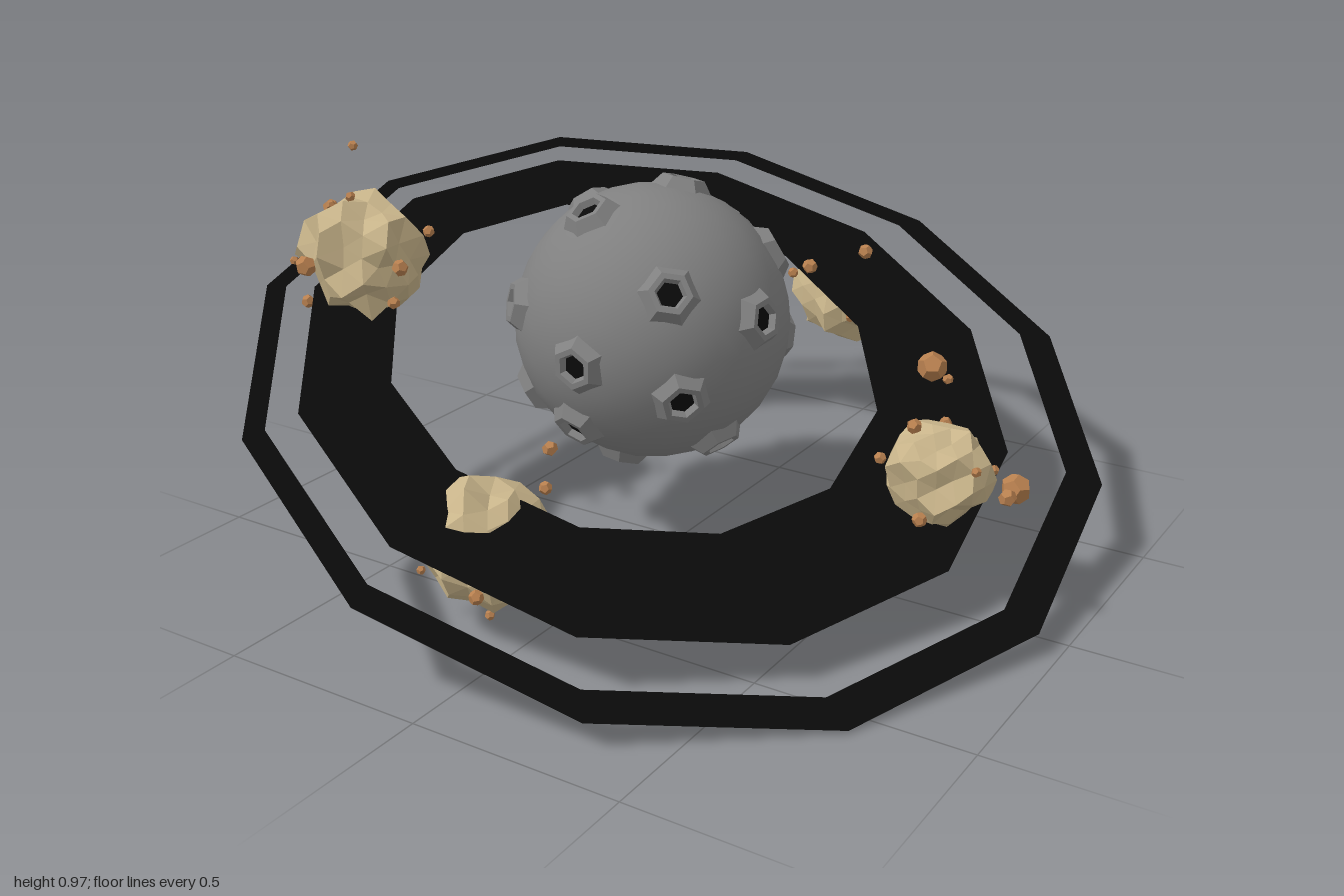
import * as THREE from 'three';

const grey = new THREE.MeshStandardMaterial({ color: 0x808080 });
const rimGrey = new THREE.MeshStandardMaterial({ color: 0x808080, flatShading: true, side: THREE.DoubleSide });
const black = new THREE.MeshStandardMaterial({ color: 0x0a0a0a, side: THREE.DoubleSide });
const sand = new THREE.MeshStandardMaterial({ color: 0xc8b48a, flatShading: true });
const brown = new THREE.MeshStandardMaterial({ color: 0xb8804f, flatShading: true });

function add(parent, name, geometry, material, x = 0, y = 0, z = 0) {
  const mesh = new THREE.Mesh(geometry, material);
  mesh.name = name;
  mesh.position.set(x, y, z);
  parent.add(mesh);
  return mesh;
}

// Repeatable pseudo-random value from 0 to 1
function hash(a, b, c, seed) {
  const h = Math.sin(a * 12.9898 + b * 78.233 + c * 37.719 + seed * 11.3) * 43758.5453;
  return h - Math.floor(h);
}

// Jagged boulder: each corner is pushed in or out by a hash of its direction
function boulderGeometry(radius, seed) {
  const geo = new THREE.IcosahedronGeometry(1, 2);
  const pos = geo.attributes.position;
  const v = new THREE.Vector3();
  for (let i = 0; i < pos.count; i++) {
    v.fromBufferAttribute(pos, i);
    const [a, b, c] = v.toArray().map(n => Math.round(n * 100));
    v.multiplyScalar(radius * (0.76 + 0.3 * hash(a, b, c, seed)));
    pos.setXYZ(i, v.x, v.y, v.z);
  }
  geo.computeVertexNormals();
  return geo;
}

// Twelve-sided flat band whose hole may sit off centre
function bandGeometry(outer, outerShift, inner, innerShift) {
  const polygon = (r, shift) => Array.from({ length: 12 }, (_, i) => {
    const a = i * Math.PI / 6;
    return new THREE.Vector2(shift + r * Math.cos(a), r * Math.sin(a));
  });
  const shape = new THREE.Shape(polygon(outer, outerShift));
  shape.holes.push(new THREE.Path(polygon(inner, innerShift)));
  return new THREE.ShapeGeometry(shape);
}

// Planet with raised, hollow craters in opposite pairs
function createPlanet() {
  const planet = new THREE.Group();
  planet.name = 'planet';
  planet.position.set(-0.065, 0.568, 0.018);
  add(planet, 'planetBody', new THREE.IcosahedronGeometry(0.325, 4), grey);
  const rimProfile = [[0.076, 0.308], [0.05, 0.343], [0.036, 0.343], [0.027, 0.32]]
    .map(p => new THREE.Vector2(...p));
  const rimGeo = new THREE.LatheGeometry(rimProfile, 6);
  const floorGeo = new THREE.CylinderGeometry(0.029, 0.029, 0.01, 6).translate(0, 0.323, 0);
  const up = new THREE.Vector3(0, 1, 0);
  const directions = [
    [0.01, -0.015, 0.33], [-0.22, 0.065, 0.23], [0.19, 0.155, 0.22], [0.22, -0.085, 0.22],
    [-0.07, 0.27, 0.14], [0.028, 0.31, -0.085], [-0.215, 0.24, -0.055], [0.32, 0.07, 0.04],
    [0.22, 0.16, -0.18], [-0.035, -0.185, 0.26],
  ];
  for (const d of directions) for (const side of [1, -1]) {
    const crater = new THREE.Group();
    crater.name = 'crater';
    crater.quaternion.setFromUnitVectors(up, new THREE.Vector3(...d).normalize().multiplyScalar(side));
    add(crater, 'craterRim', rimGeo, rimGrey);
    add(crater, 'craterHole', floorGeo, black);
    planet.add(crater);
  }
  return planet;
}

// Two coplanar tilted rings
function createRings() {
  const rings = new THREE.Group();
  rings.name = 'rings';
  const across = new THREE.Vector3(0.937, -0.34, 0.078).normalize();
  const back = new THREE.Vector3(0.15, 0.186, -0.972).normalize();
  const normal = across.clone().cross(back).normalize();
  rings.quaternion.setFromRotationMatrix(new THREE.Matrix4().makeBasis(across, back, normal));
  rings.position.y = 0.412;
  add(rings, 'outerRing', bandGeometry(1.023, 0, 0.958, -0.025), black);
  add(rings, 'innerRing', bandGeometry(0.856, -0.07, 0.597, -0.142), black);
  return rings;
}

// Boulder with a few large pebbles (offset, radius) and a swarm of small ones
function createCluster(x, y, z, radius, seed, largePebbles) {
  const cluster = new THREE.Group();
  cluster.name = 'asteroidCluster';
  cluster.position.set(x, y, z);
  add(cluster, 'boulder', boulderGeometry(radius, seed), sand);
  const pebbles = [...largePebbles];
  for (let i = 0; i < 7; i++) {
    const height = 0.85 - i * 0.25;
    const angle = i * 2.4 + seed;
    const reach = radius * (1 + 0.3 * hash(i, 1, 2, seed));
    const flat = reach * Math.sqrt(1 - height * height);
    pebbles.push([flat * Math.cos(angle), reach * height, flat * Math.sin(angle), 0.01 + 0.008 * hash(i, 3, 4, seed)]);
  }
  pebbles.forEach(([px, py, pz, r], i) => {
    const pebble = add(cluster, 'pebble', new THREE.DodecahedronGeometry(r), brown, px, py, pz);
    pebble.rotation.set(i * 1.3, i * 0.7 + seed, i * 2.1);
  });
  return cluster;
}

export function createModel() {
  const model = new THREE.Group();
  model.add(createPlanet(), createRings());
  model.add(createCluster(-0.7, 0.7, 0.31, 0.155, 1, [
    [0.01, 0.27, 0.02, 0.012], [-0.18, 0.07, -0.09, 0.02], [0, 0.02, 0.19, 0.025], [0.17, 0.01, 0.06, 0.02],
  ]));
  model.add(createCluster(0.665, 0.335, -0.02, 0.125, 2, [
    [-0.085, 0.19, -0.13, 0.035], [0.125, -0.07, -0.15, 0.036], [0.19, 0.01, 0.07, 0.02], [0.035, 0.245, 0.06, 0.012],
  ]));
  model.add(createCluster(-0.145, 0.2, 0.58, 0.15, 3, [
    [-0.18, 0.005, 0.02, 0.022], [0.01, -0.18, 0, 0.012], [0.07, 0.18, -0.16, 0.018], [0.09, -0.05, 0.14, 0.017],
  ]));
  model.add(createCluster(0.04, 0.435, -0.79, 0.145, 4, [
    [0.01, 0.135, 0.24, 0.02], [0.16, 0.02, -0.02, 0.022], [0.06, -0.09, -0.11, 0.02], [0.08, 0.14, 0.06, 0.02],
  ]));
  return model;
}
